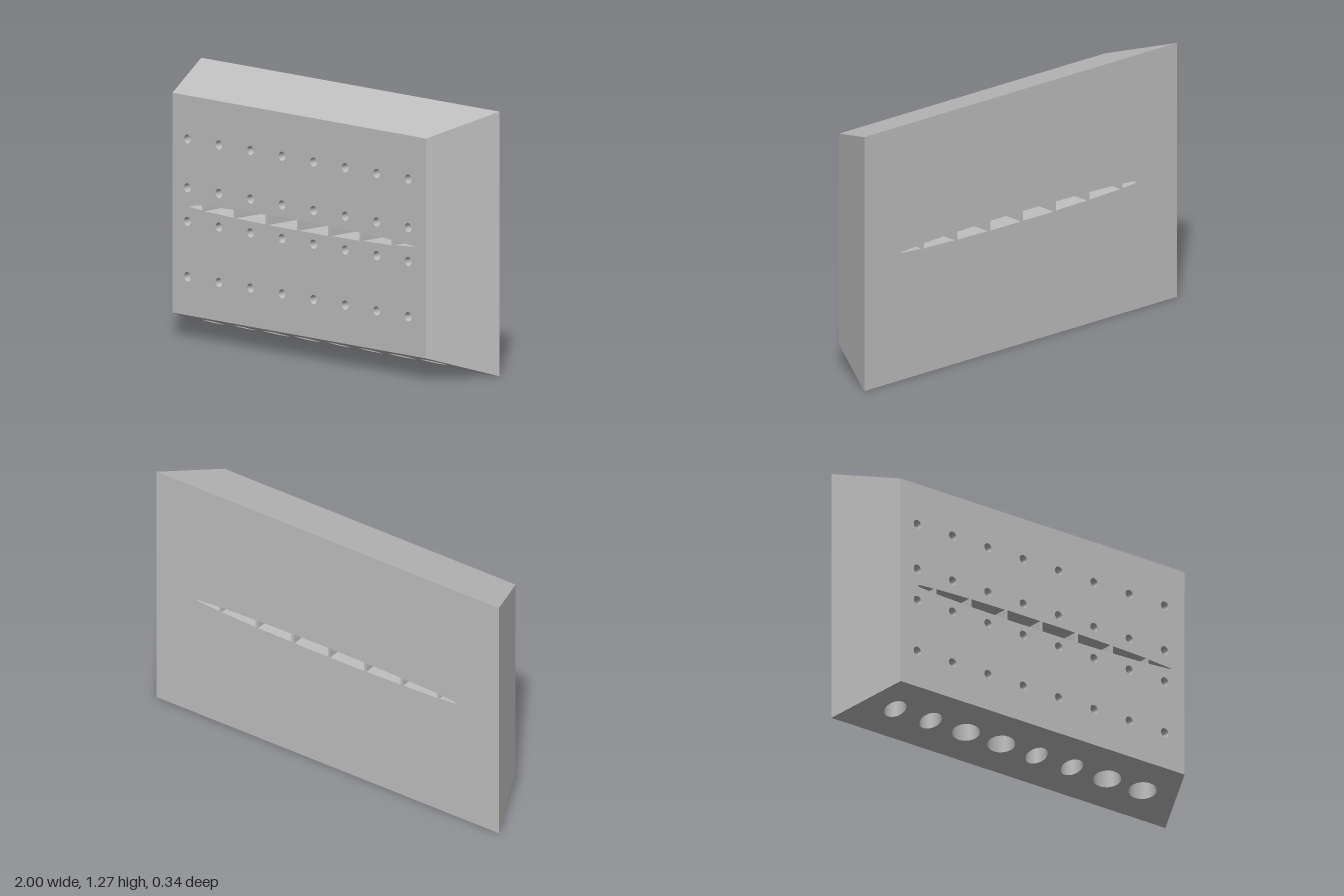
import * as THREE from 'three';

const grey = new THREE.MeshStandardMaterial({ color: 0xc0c0c0, side: THREE.DoubleSide });
grey.name = 'machined grey';

// The block tapers from a wide back (z = -D) to a smaller front (z = D)
const D = 0.17;
const halfWidth = (z) => 0.925 - (0.075 * z) / D;
const topY = (z) => 1.2175 - (0.0525 * z) / D;
const bottomY = (z) => 0.055 + (0.055 * z) / D;

// Eight stations across the block
const PITCH = 0.2115, HOLE_R = 0.022, DUCT_R = 0.018, DUCT_Z = -0.01;
const stations = Array.from({ length: 8 }, (_, i) => -0.75 + i * PITCH);
const inletR = [0.052, 0.052, 0.073, 0.073, 0.052, 0.052, 0.073, 0.073];
const rows = [0.955, 0.722, 0.56, 0.295];

// Slot segments: start x, end x, half height at start and end
const SLOT_Y = 0.637;
const slots = [
  [-0.745, -0.652, 0.005, 0.011], [-0.637, -0.441, 0.013, 0.019],
  [-0.425, -0.227, 0.02, 0.023], [-0.211, -0.015, 0.0245, 0.0245],
  [-0.002, 0.194, 0.0245, 0.0245], [0.21, 0.405, 0.023, 0.02],
  [0.421, 0.619, 0.019, 0.013], [0.634, 0.768, 0.011, 0.002],
];
const slotHalf = ([x0, x1, h0, h1], x) => h0 + ((h1 - h0) * (x - x0)) / (x1 - x0);

const V2 = (x, y) => new THREE.Vector2(x, y);
const V3 = (x, y, z) => new THREE.Vector3(x, y, z);
const ellipse = (cx, cy, rx, ry = rx, n = 24) => Array.from({ length: n }, (_, i) => {
  const a = (i / n) * Math.PI * 2;
  return V2(cx + rx * Math.cos(a), cy + ry * Math.sin(a));
});

// Flat face: 2D outline with holes, placed in space by map(u, v)
function face(group, name, outline, holes, map, flip = false) {
  const shape = new THREE.Shape(outline.map(([u, v]) => V2(u, v)));
  shape.holes = holes.map((pts) => new THREE.Path(pts));
  const geo = new THREE.ShapeGeometry(shape);
  const p = geo.attributes.position;
  for (let i = 0; i < p.count; i++) {
    const q = map(p.getX(i), p.getY(i));
    p.setXYZ(i, q.x, q.y, q.z);
  }
  if (flip) geo.setIndex(Array.from(geo.index.array).reverse());
  geo.computeVertexNormals();
  const mesh = new THREE.Mesh(geo, grey);
  mesh.name = name;
  group.add(mesh);
}

// Bore wall joining two rings of points, facing inward or outward
function bore(group, name, ringA, ringB, cap = false) {
  const n = ringA.length, index = [];
  const points = [...ringA, ...ringB];
  for (let i = 0; i < n; i++) {
    const j = (i + 1) % n;
    index.push(i, j, n + i, j, n + j, n + i);
  }
  if (cap) {
    points.push(...ringB);
    for (let i = 1; i < n - 1; i++) index.push(2 * n, 2 * n + i, 2 * n + i + 1);
  }
  const geo = new THREE.BufferGeometry().setFromPoints(points);
  geo.setIndex(index);
  geo.computeVertexNormals();
  const mesh = new THREE.Mesh(geo, grey);
  mesh.name = name;
  group.add(mesh);
}

export function createModel() {
  const model = new THREE.Group();
  model.name = 'perforated block';

  const slotHoles = slots.map(([x0, x1, h0, h1]) => [
    V2(x0, SLOT_Y - h0), V2(x1, SLOT_Y - h1), V2(x1, SLOT_Y + h1), V2(x0, SLOT_Y + h0),
  ]);
  const frontHoles = rows.flatMap((y) => stations.map((x) => ellipse(x, y, HOLE_R)));

  // Outer shell
  const rect = (z) => {
    const w = halfWidth(z);
    return [[-w, bottomY(z)], [w, bottomY(z)], [w, topY(z)], [-w, topY(z)]];
  };
  face(model, 'frontFace', rect(D), [...slotHoles, ...frontHoles], (x, y) => V3(x, y, D));
  face(model, 'backFace', rect(-D), slotHoles, (x, y) => V3(x, y, -D), true);
  face(model, 'topFace', [[-0.85, -D], [0.85, -D], [1, D], [-1, D]],
    stations.map((x) => ellipse(x, -DUCT_Z, DUCT_R)), (x, v) => V3(x, topY(-v), -v));
  face(model, 'bottomFace', [[-1, -D], [1, -D], [0.85, D], [-0.85, D]],
    stations.map((x, i) => ellipse(x, 0, inletR[i], 0.056)), (x, z) => V3(x, bottomY(z), z));
  for (const s of [1, -1]) {
    face(model, s > 0 ? 'leftFace' : 'rightFace',
      [[-D, bottomY(D)], [D, bottomY(-D)], [D, topY(-D)], [-D, topY(D)]], [],
      (u, y) => V3(s * halfWidth(-u), y, -u), s < 0);
  }

  // Slot walls, opened where the vertical ducts pass through
  slots.forEach((slot, i) => {
    const [x0, x1, h0, h1] = slot;
    const g = new THREE.Group();
    g.name = 'slot' + (i + 1);
    model.add(g);
    const outline = [[x0, -D], [x1, -D], [x1, D], [x0, D]];
    const opening = [ellipse(stations[i], DUCT_Z, DUCT_R)];
    face(g, 'slotRoof', outline, i > 0 ? opening : [],
      (x, z) => V3(x, SLOT_Y + slotHalf(slot, x), z));
    face(g, 'slotFloor', outline, i > 2 ? opening : [],
      (x, z) => V3(x, SLOT_Y - slotHalf(slot, x), z), true);
    for (const [x, h] of [[x0, h0], [x1, h1]]) {
      face(g, 'slotEnd', [[-D, -h], [D, -h], [D, h], [-D, h]], [],
        (z, y) => V3(x, SLOT_Y + y, z), x === x0);
    }
  });

  stations.forEach((x, i) => {
    // Vertical ducts: narrow above the slot, flaring to the inlet below
    const half = (px) => (i > 0 ? slotHalf(slots[i], px) : 0);
    const ring = ellipse(x, DUCT_Z, DUCT_R);
    bore(model, 'upperDuct', ring.map((p) => V3(p.x, topY(p.y), p.y)),
      ring.map((p) => V3(p.x, SLOT_Y + half(p.x), p.y)), i === 0);
    bore(model, 'inletDuct', ellipse(x, 0, inletR[i], 0.056).map((p) => V3(p.x, bottomY(p.y), p.y)),
      ring.map((p) => V3(p.x, SLOT_Y - half(p.x), p.y)));

    // Blind holes drilled from the front
    for (const y of rows) {
      const hole = ellipse(x, y, HOLE_R);
      bore(model, 'frontHole', hole.map((p) => V3(p.x, p.y, D)),
        hole.map((p) => V3(p.x, p.y, DUCT_Z)), true);
    }
  });

  return model;
}
